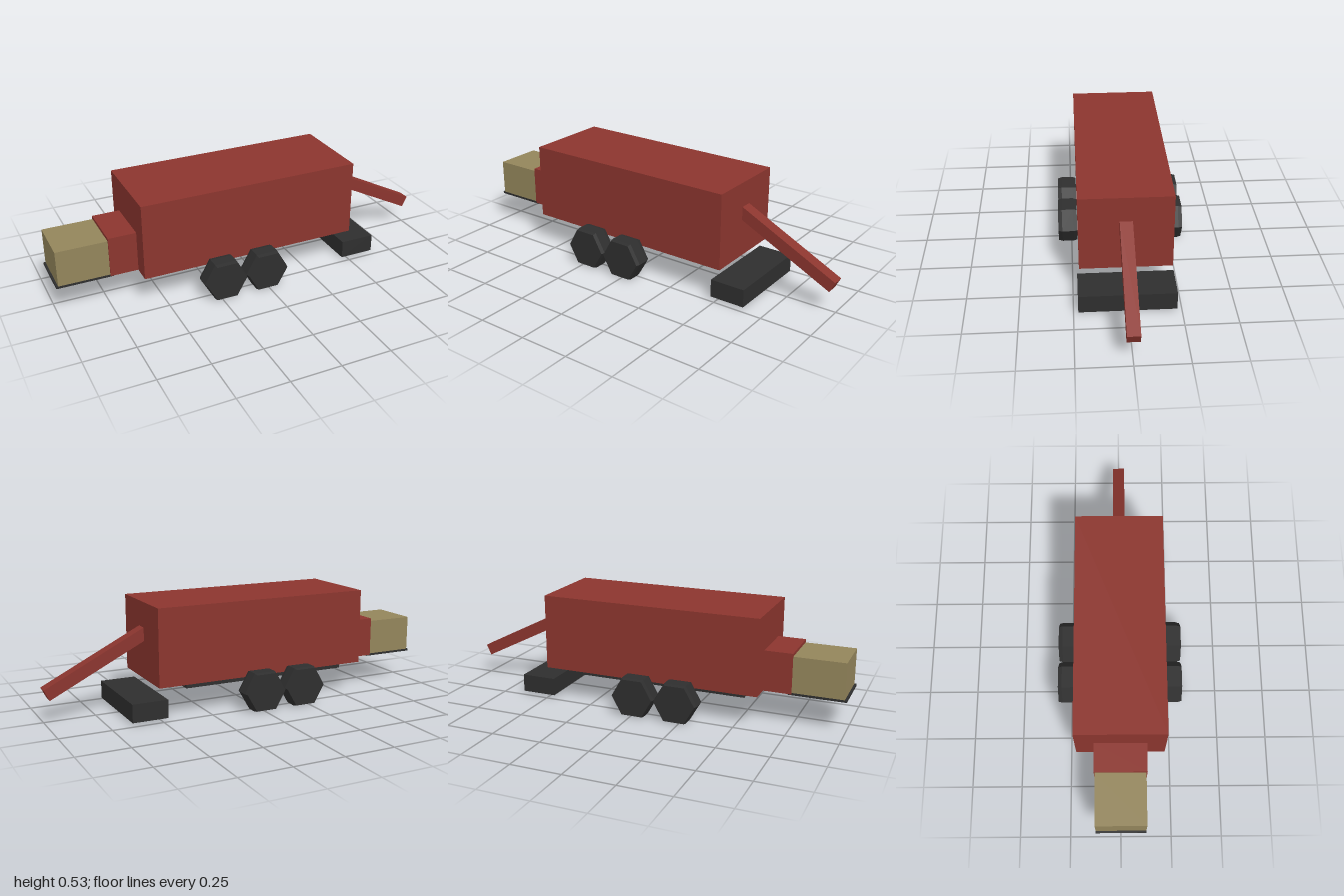
import * as THREE from 'three';

function material(name, color) {
  const m = new THREE.MeshStandardMaterial({ color });
  m.name = name;
  return m;
}

export function createModel() {
  const red = material('barn red', 0x8b352e);
  const dark = material('charcoal', 0x2e2e2e);
  const straw = material('straw', 0x93855b);
  dark.flatShading = true;

  const model = new THREE.Group();
  model.name = 'baler';

  const add = (name, geometry, mat) => {
    const mesh = new THREE.Mesh(geometry, mat);
    mesh.name = name;
    model.add(mesh);
    return mesh;
  };

  // Box given by its x and y ranges, centred on z = 0
  const block = (name, mat, x0, x1, y0, y1, halfWidth) => {
    const mesh = add(name, new THREE.BoxGeometry(x1 - x0, y1 - y0, halfWidth * 2), mat);
    mesh.position.set((x0 + x1) / 2, (y0 + y1) / 2, 0);
    return mesh;
  };

  // Body, frame and bale chamber
  block('body', red, -0.605, 0.507, 0.156, 0.533, 0.219);
  block('chassis', dark, -0.525, 0.345, 0.12, 0.156, 0.158);
  block('baleChamber', red, -0.742, -0.605, 0.158, 0.357, 0.127);

  // Bale resting on its tray
  block('bale', straw, -0.99, -0.742, 0.164, 0.342, 0.122);
  block('tray', dark, -1, -0.725, 0.153, 0.164, 0.123);

  // Low pickup ahead of the body
  block('pickup', dark, 0.468, 0.645, 0.011, 0.1, 0.228);

  // Sloping drawbar, its rear end sunk into the body
  const length = 0.56, thick = 0.059, slope = 0.466;
  const bar = new THREE.BoxGeometry(length, thick, 0.06);
  bar.translate(-length / 2, -thick / 2, 0);
  const drawbar = add('drawbar', bar, red);
  drawbar.rotation.z = -slope;
  drawbar.position.set(0.999, 0.162, 0);

  // Six-sided wheels with chamfered rims, two on each side
  const profile = [[0, -0.0475], [0.104, -0.0475], [0.1097, -0.028],
    [0.1097, 0.028], [0.104, 0.0475], [0, 0.0475]].map(p => new THREE.Vector2(...p));
  const wheel = new THREE.LatheGeometry(profile, 6);
  wheel.rotateY(Math.PI / 6);
  wheel.rotateX(Math.PI / 2);
  for (const side of [-1, 1]) {
    for (const [axle, x] of [['rear', -0.226], ['front', -0.007]]) {
      const name = axle + (side > 0 ? 'NearWheel' : 'FarWheel');
      add(name, wheel, dark).position.set(x, 0.095, side * 0.268);
    }
  }
  return model;
}
